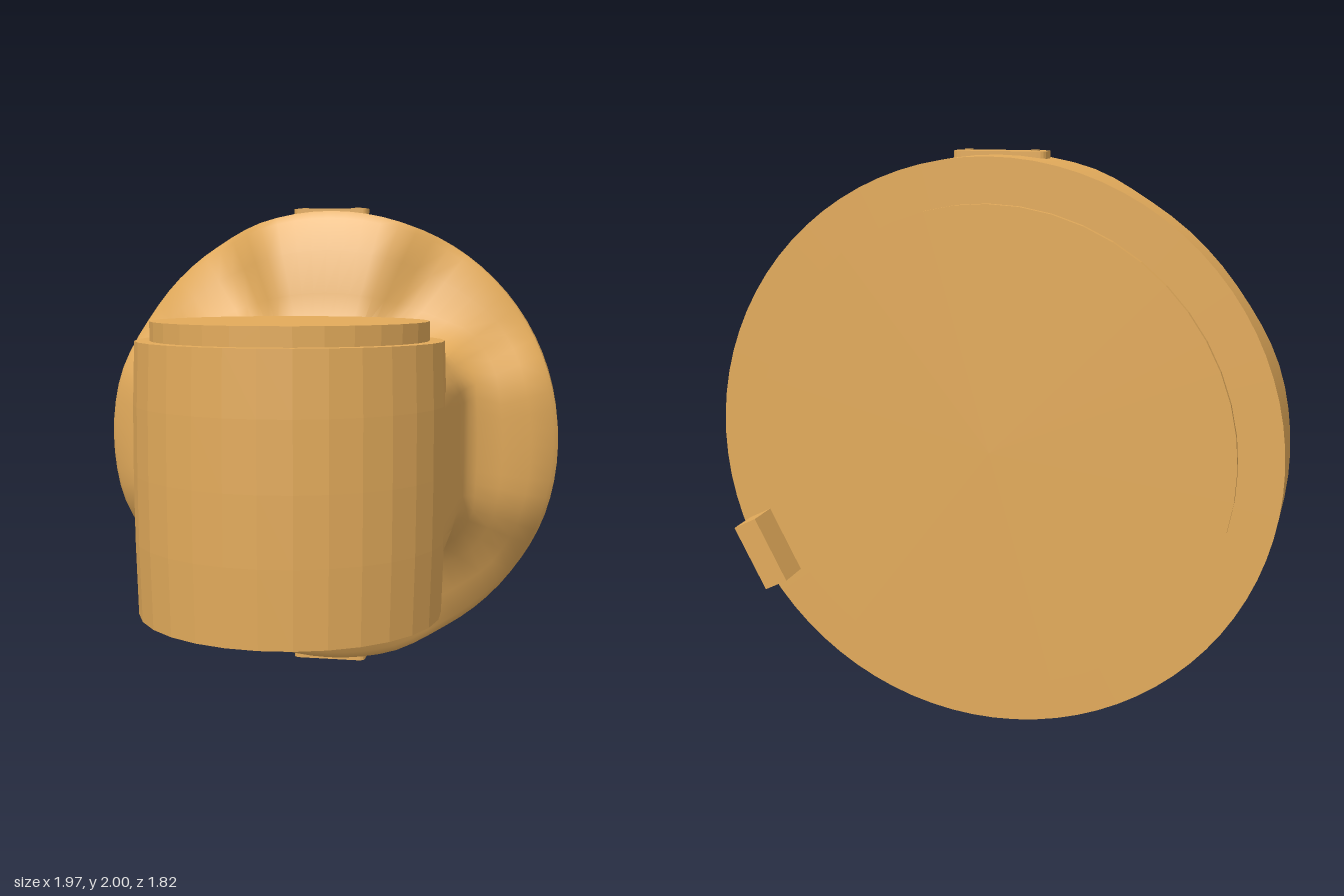
import * as THREE from 'three';
import { toCreasedNormals } from 'three/addons/utils/BufferGeometryUtils.js';

const COLOR = 0xe3ab5b;
const CY = 1.0; // height of the flange axis
const RIM = 0.985;

export function createModel() {
  const model = new THREE.Group();
  const smooth = new THREE.MeshStandardMaterial({ color: COLOR });
  const faceted = new THREE.MeshStandardMaterial({ color: COLOR, flatShading: true });

  function add(name, geo, x = 0, y = 0, z = 0, mat = faceted, parent = model) {
    const mesh = new THREE.Mesh(geo, mat);
    mesh.name = name;
    mesh.position.set(x, y, z);
    parent.add(mesh);
    return mesh;
  }

  // Upright housing, slightly barrelled, with a stepped lid
  const housing = [[0, 0.47], [0.565, 0.47], [0.573, 0.75], [0.575, 1.0], [0.573, 1.25], [0.565, 1.48], [0, 1.48]];
  add('housing', new THREE.LatheGeometry(housing.map(p => new THREE.Vector2(...p)), 30), 0, 0, 0.33);
  add('lid', new THREE.CylinderGeometry(0.51, 0.51, 0.08, 30), 0, 1.51, 0.33);

  // Neck flaring into the round flange
  add('neckAndFlange', neckAndFlange(), 0, CY, 0, smooth);

  // Raised disc on the back of the flange
  const disc = add('backPlate', new THREE.CylinderGeometry(0.835, 0.835, 0.03, 48), 0, CY, -0.795);
  disc.rotation.x = Math.PI / 2;

  // Block on the back, turned to follow the rim
  const block = add('backBlock', new THREE.BoxGeometry(0.09, 0.245, 0.13), 0.815, 0.6, -0.845);
  block.rotation.z = -0.46;

  // Small riveted plates on the top and bottom of the rim
  for (const side of [1, -1]) {
    const plate = new THREE.Group();
    plate.name = side > 0 ? 'topPlate' : 'bottomPlate';
    plate.position.set(0, CY, -0.62);
    if (side < 0) plate.rotation.z = Math.PI;
    const geo = new THREE.ExtrudeGeometry(roundedRect(0.16, 0.048, 0.03), { depth: 0.03, bevelEnabled: false, curveSegments: 4 });
    geo.rotateX(-Math.PI / 2);
    add('plate', geo, 0, 0.966, 0, faceted, plate);
    for (const x of [-0.115, 0.115]) {
      add('rivet', new THREE.CylinderGeometry(0.015, 0.015, 0.02, 10), x, 0.99, 0, faceted, plate);
    }
    model.add(plate);
  }

  // Drain boss and bolt below the neck
  const drain = new THREE.Group();
  drain.name = 'drain';
  drain.position.set(0.42, 0, -0.22);
  add('bossPad', new THREE.BoxGeometry(0.15, 0.07, 0.16), 0, 0.608, 0.09, faceted, drain);
  add('boss', new THREE.CylinderGeometry(0.09, 0.09, 0.1, 10), 0, 0.593, 0, faceted, drain);
  add('boltHead', new THREE.CylinderGeometry(0.038, 0.038, 0.05, 6), 0, 0.533, 0, faceted, drain);
  add('boltTip', new THREE.CylinderGeometry(0.024, 0.024, 0.04, 8), 0, 0.5, 0, faceted, drain);
  model.add(drain);

  return model;
}

function roundedRect(w, h, r) {
  const s = new THREE.Shape();
  s.moveTo(-w + r, -h);
  s.lineTo(w - r, -h);
  s.quadraticCurveTo(w, -h, w, -h + r);
  s.lineTo(w, h - r);
  s.quadraticCurveTo(w, h, w - r, h);
  s.lineTo(-w + r, h);
  s.quadraticCurveTo(-w, h, -w, h - r);
  s.lineTo(-w, -h + r);
  s.quadraticCurveTo(-w, -h, -w + r, -h);
  return s;
}

// Loops from a chamfered rectangle to a circle; the diagonals are sunk
// between four ridges that run out to the rim.
function neckAndFlange() {
  const N = 80;
  // z, blend from neck to rim, share of the diagonal sink, neck width
  const rows = [
    [0.33, 0, 0, 0.57], [-0.1, 0, 0, 0.583], [-0.25, 0, 0, 0.587],
    [-0.33, 0.025, 0, 0.59], [-0.375, 0.07, 0.1, 0.59], [-0.41, 0.16, 0.3, 0.59],
    [-0.445, 0.42, 0.75, 0.59], [-0.48, 0.72, 1, 0.59], [-0.535, 0.95, 1, 0.59],
    [-0.56, 1, 1, 0.59], [-0.79, 1, 0, 0.59],
  ];
  const neckRadius = (c, s, w) => Math.min(w / Math.max(c, 1e-6), 0.39 / Math.max(s, 1e-6), 1 / (c / 0.79 + s / 1.057));
  const pos = [], idx = [];
  for (const [z, blend, sink, w] of rows) {
    for (let j = 0; j < N; j++) {
      const a = (j / N) * Math.PI * 2;
      const c = Math.abs(Math.cos(a)), s = Math.abs(Math.sin(a));
      const deg = THREE.MathUtils.radToDeg(Math.atan2(s, c));
      const valley = THREE.MathUtils.smoothstep(deg, 14, 36) * (1 - THREE.MathUtils.smoothstep(deg, 58, 74));
      const r = THREE.MathUtils.lerp(neckRadius(c, s, w), RIM, blend);
      pos.push(r * Math.cos(a), r * Math.sin(a), z - 0.1 * valley * sink);
    }
  }
  for (let i = 0; i < rows.length - 1; i++) {
    for (let j = 0; j < N; j++) {
      const a = i * N + j, b = i * N + (j + 1) % N;
      idx.push(a, a + N, b, b, a + N, b + N);
    }
  }
  // Flat back
  const last = (rows.length - 1) * N, centre = pos.length / 3;
  pos.push(0, 0, -0.79);
  for (let j = 0; j < N; j++) idx.push(centre, last + (j + 1) % N, last + j);
  const geo = new THREE.BufferGeometry();
  geo.setAttribute('position', new THREE.Float32BufferAttribute(pos, 3));
  geo.setIndex(idx);
  return toCreasedNormals(geo, 0.6);
}
